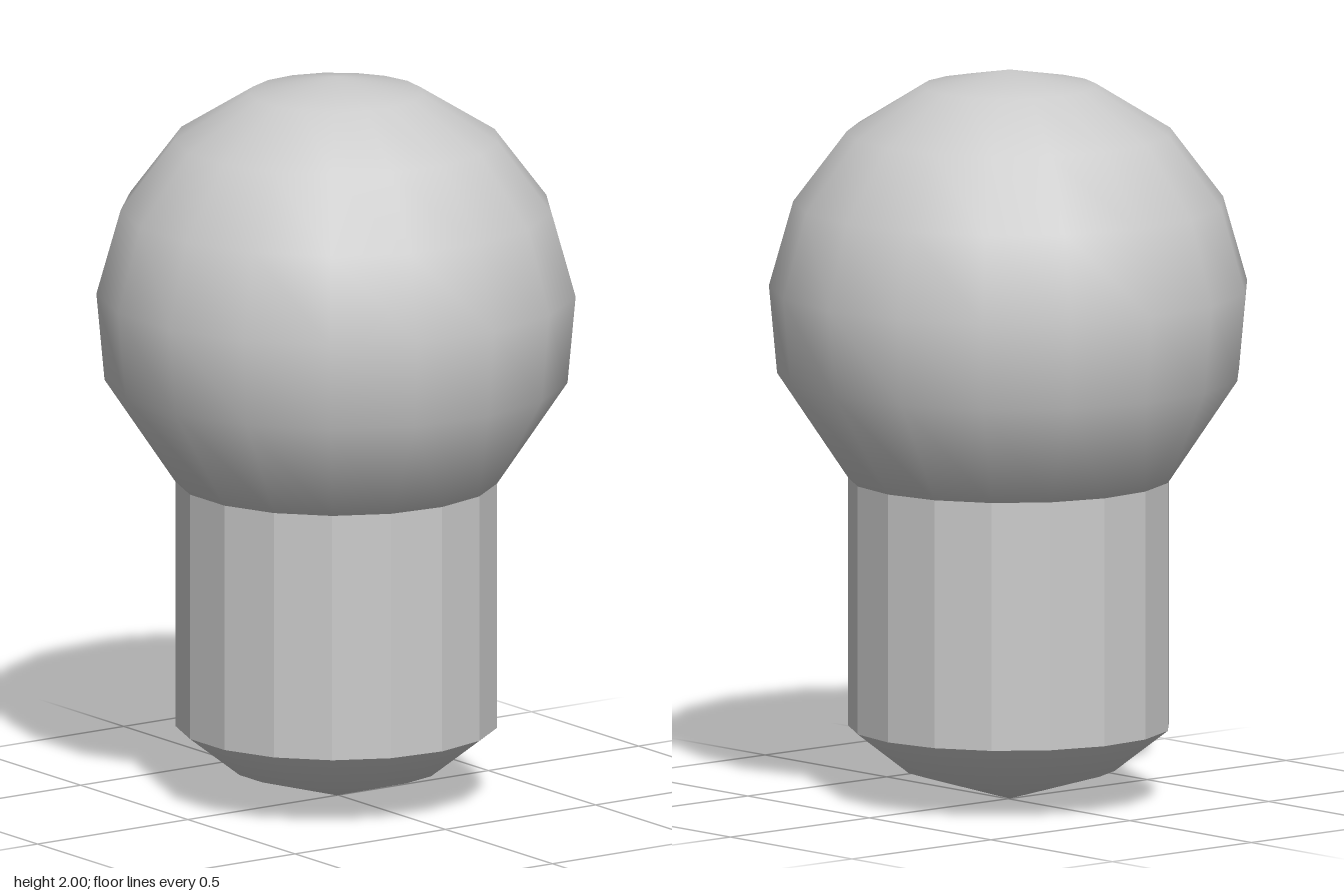
import * as THREE from 'three';

const SIDES = 17;
const NECK_R = 0.438;
const NECK_TOP = 0.88;
const NECK_BOTTOM = 0.2;

// Revolve a bottom-to-top profile, with smooth normals pointing away from a centre on the axis
function roundLathe(profile, centreY) {
  const points = profile.map(([r, y]) => new THREE.Vector2(r, y));
  const geometry = new THREE.LatheGeometry(points, SIDES, Math.PI);
  const { position, normal } = geometry.attributes;
  const v = new THREE.Vector3();
  for (let i = 0; i < position.count; i++) {
    v.fromBufferAttribute(position, i);
    v.y -= centreY;
    v.normalize();
    normal.setXYZ(i, v.x, v.y, v.z);
  }
  return geometry;
}

export function createModel() {
  const model = new THREE.Group();
  const smooth = new THREE.MeshStandardMaterial({ color: 0xcccccc });
  const faceted = new THREE.MeshStandardMaterial({ color: 0xcccccc, flatShading: true });

  const add = (name, geometry, material) => {
    const mesh = new THREE.Mesh(geometry, material);
    mesh.name = name;
    model.add(mesh);
    return mesh;
  };

  // Round head: sphere rings from the crown down, then straight in to the neck
  const radius = 0.655;
  const centreY = 2 - radius;
  const headProfile = [[NECK_R, NECK_TOP]];
  for (let i = 5; i >= 0; i--) {
    const a = (i * 2 * Math.PI) / SIDES;
    headProfile.push([radius * Math.sin(a), centreY + radius * Math.cos(a)]);
  }
  add('head', roundLathe(headProfile, centreY), smooth);

  // Faceted neck
  const height = NECK_TOP - NECK_BOTTOM;
  const neck = new THREE.CylinderGeometry(NECK_R, NECK_R, height, SIDES, 1, true, Math.PI);
  add('neck', neck, faceted).position.y = NECK_BOTTOM + height / 2;

  // Shallow domed base
  add('base', roundLathe([[0, 0], [0.29, 0.085], [NECK_R, NECK_BOTTOM]], 0.58), smooth);

  // The odd side count reaches further back than forward, so recentre
  model.position.z = 0.005;
  return model;
}
